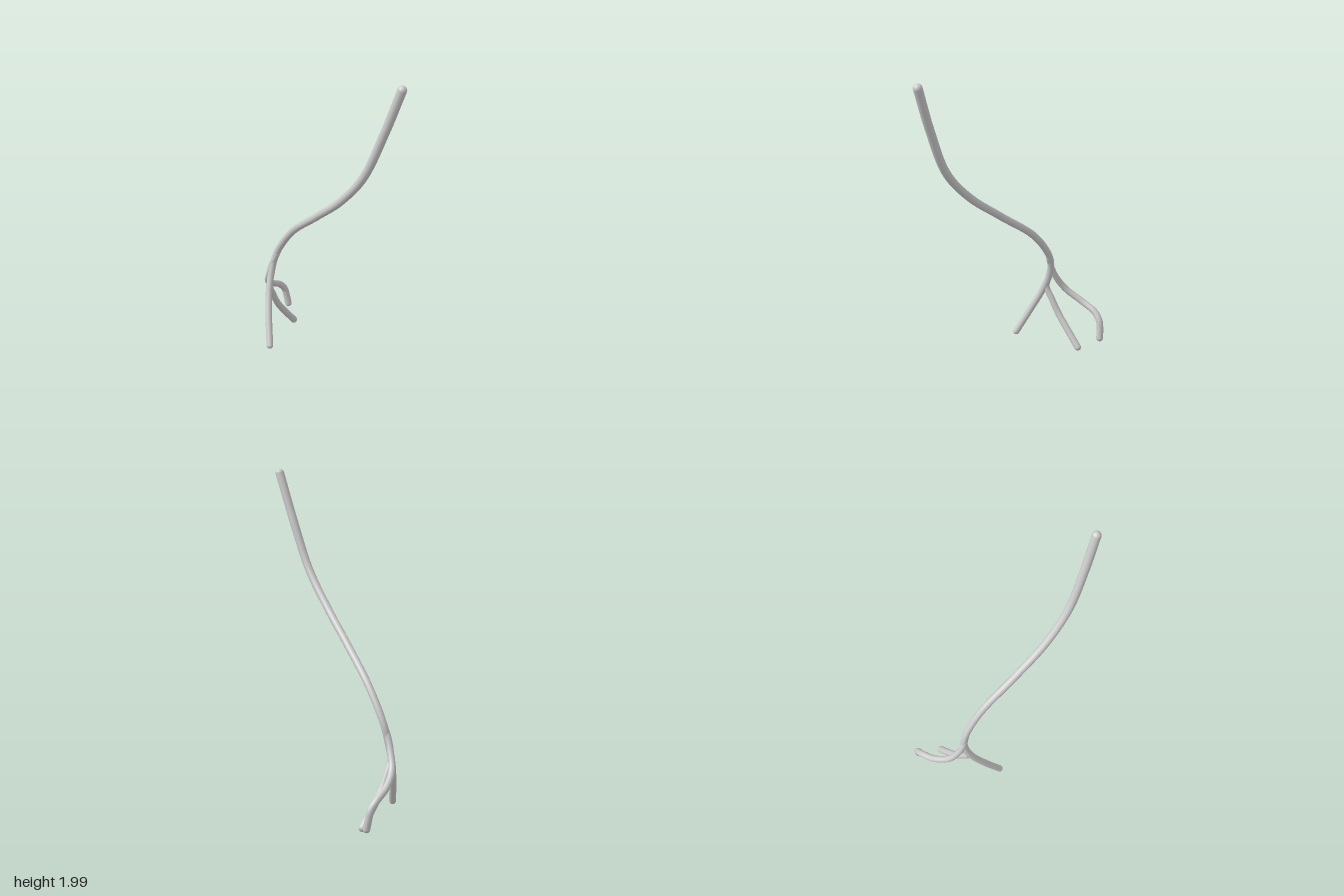
import * as THREE from 'three';

const material = new THREE.MeshStandardMaterial({ color: 0xcccccc });

// Round, tapering limb along a smooth path, with domed ends
function limb(name, points, radii, segments) {
  const curve = new THREE.CatmullRomCurve3(points.map((p) => new THREE.Vector3(...p)));
  const sides = 20;
  const radiusAt = (t) => {
    const f = t * (radii.length - 1);
    const i = Math.min(Math.floor(f), radii.length - 2);
    return THREE.MathUtils.lerp(radii[i], radii[i + 1], f - i);
  };

  // Unit-radius tube, each ring pulled in to the radius wanted there
  const tube = new THREE.TubeGeometry(curve, segments, 1, sides, false);
  const pos = tube.attributes.position;
  const v = new THREE.Vector3();
  for (let ring = 0; ring <= segments; ring++) {
    const t = ring / segments;
    const centre = curve.getPointAt(t);
    for (let s = 0; s <= sides; s++) {
      const i = ring * (sides + 1) + s;
      v.fromBufferAttribute(pos, i).sub(centre).multiplyScalar(radiusAt(t)).add(centre);
      pos.setXYZ(i, v.x, v.y, v.z);
    }
  }

  const group = new THREE.Group();
  group.name = name;
  const shaft = new THREE.Mesh(tube, material);
  shaft.name = name + 'Shaft';
  group.add(shaft);

  // Half-sphere caps facing out of each end
  for (const t of [0, 1]) {
    const dome = new THREE.SphereGeometry(radiusAt(t), sides, 8, 0, Math.PI * 2, 0, Math.PI / 2);
    const cap = new THREE.Mesh(dome, material);
    cap.name = name + (t ? 'EndCap' : 'StartCap');
    cap.position.copy(curve.getPointAt(t));
    const out = curve.getTangentAt(t).multiplyScalar(t ? 1 : -1);
    cap.quaternion.setFromUnitVectors(new THREE.Vector3(0, 1, 0), out);
    group.add(cap);
  }
  return group;
}

export function createModel() {
  const model = new THREE.Group();
  model.name = 'branchingLimb';

  // Long stem running down into the front branch
  model.add(limb('stemAndFrontBranch', [
    [0.625, 1.973, -0.097], [0.53, 1.7, -0.058], [0.4, 1.4, -0.016], [0.224, 1.195, 0.011],
    [0, 1.015, 0.02], [-0.27, 0.8, 0.023], [-0.405, 0.6, 0.045], [-0.42, 0.48, 0.07],
    [-0.398, 0.37, 0.105], [-0.34, 0.232, 0.15], [-0.257, 0.063, 0.2],
  ], [0.027, 0.026, 0.024, 0.023, 0.022, 0.021, 0.021], 100));

  // Rear branch, leaving the front one low down
  model.add(limb('rearBranch', [
    [-0.42, 0.46, 0.075], [-0.414, 0.39, 0.09], [-0.43, 0.31, 0.055],
    [-0.448, 0.22, 0.008], [-0.468, 0.13, -0.06], [-0.49, 0.027, -0.145],
  ], [0.019, 0.021, 0.022], 40));

  // Outer branch, sweeping back and turning down at its tip
  model.add(limb('outerBranch', [
    [-0.395, 0.61, 0.044], [-0.428, 0.53, 0.06], [-0.465, 0.45, 0.056], [-0.525, 0.36, 0.03],
    [-0.592, 0.287, -0.045], [-0.632, 0.232, -0.135], [-0.637, 0.185, -0.175],
    [-0.635, 0.14, -0.187], [-0.627, 0.073, -0.197],
  ], [0.019, 0.021, 0.022], 60));

  return model;
}
